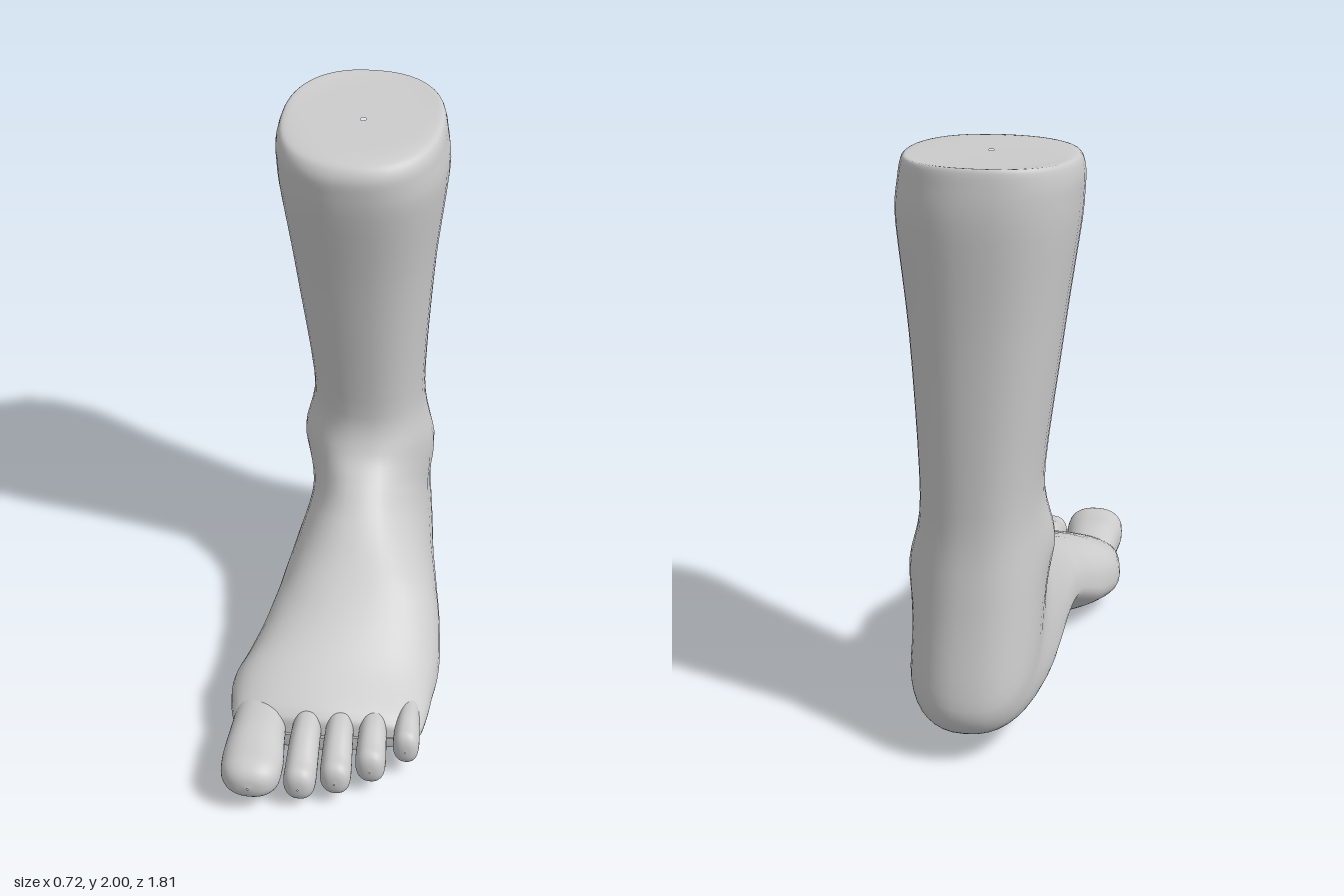
import * as THREE from 'three';

const { smoothstep, lerp } = THREE.MathUtils;
const RING = 44, STEPS = 5;

// Smooth interpolation through rows of numbers, without overshoot
function resample(rows) {
  const slope = (i, k) => {
    if (i === 0 || i === rows.length - 1) return 0;
    const a = rows[i][k] - rows[i - 1][k], b = rows[i + 1][k] - rows[i][k];
    return a * b > 0 ? (2 * a * b) / (a + b) : 0;
  };
  const out = [];
  for (let i = 0; i < rows.length - 1; i++) {
    for (let s = 0; s < STEPS; s++) {
      const t = s / STEPS, t2 = t * t, t3 = t2 * t;
      out.push(rows[i].map((v, k) =>
        (2 * t3 - 3 * t2 + 1) * v + (t3 - 2 * t2 + t) * slope(i, k) +
        (3 * t2 - 2 * t3) * rows[i + 1][k] + (t3 - t2) * slope(i + 1, k)));
    }
  }
  out.push(rows[rows.length - 1]);
  return out;
}

// Skin over rounded cross-sections: [top z, top y, bottom z, bottom y, centre x, half width]
function loft(rows, shape = () => {}) {
  const sections = resample(rows), pos = [], index = [], p = new THREE.Vector3();
  const power = (v) => Math.sign(v) * Math.pow(Math.abs(v), 0.86);
  for (const [tz, ty, bz, by, x, half] of sections) {
    // the instep is widest near the sole, leg and toes at mid height
    const wide = 0.5 + 0.18 * (1 - smoothstep(ty, 0.5, 0.75)) * (1 - smoothstep(tz, 0.25, 0.57));
    for (let j = 0; j < RING; j++) {
      const a = (j / RING) * Math.PI * 2;
      const c = power(Math.cos(a)), s = power(Math.sin(a));
      const t = c > 0 ? wide * (1 - c) : wide - (1 - wide) * c;
      p.set(x + s * half, lerp(ty, by, t), lerp(tz, bz, t));
      shape(p);
      pos.push(p.x, p.y, p.z);
    }
  }
  for (let i = 0; i < sections.length - 1; i++) {
    for (let j = 0; j < RING; j++) {
      const k = (j + 1) % RING;
      const a = i * RING + j, b = a + RING, c = (i + 1) * RING + k, d = i * RING + k;
      index.push(a, b, c, a, c, d);
    }
  }
  const g = new THREE.BufferGeometry();
  g.setAttribute('position', new THREE.Float32BufferAttribute(pos, 3));
  g.setIndex(index);
  g.computeVertexNormals();
  return g;
}

// Ankle bones, inner arch and the slope towards the little toe
function sculpt(p) {
  const bump = (y, z) => Math.exp(-((p.y - y) ** 2 + (p.z - z) ** 2) / 0.0144);
  if (p.x < -0.1) p.x -= 0.025 * bump(0.69, -0.5);
  if (p.x > 0.1) p.x += 0.025 * bump(0.59, -0.58);
  const low = Math.max(0, 1 - p.y / 0.35);
  p.y += 0.1 * Math.max(0, -p.x / 0.25) * low * Math.exp(-(((p.z + 0.08) / 0.28) ** 2));
  const fore = smoothstep(p.z, 0, 0.5);
  p.y -= 0.35 * p.x * fore * Math.max(0, p.y - 0.08);
  p.z -= 0.15 * Math.max(0, p.x) * fore;
}

// Sections fan round from the level top of the leg to the upright front of the foot
const legAndFoot = [
  [-0.46, 1.975, -0.48, 1.976, -0.02, 0.01],
  [-0.24, 1.965, -0.74, 1.99, -0.02, 0.22],
  [-0.17, 1.945, -0.8, 2, -0.025, 0.275],
  [-0.145, 1.89, -0.815, 1.94, -0.025, 0.293],
  [-0.152, 1.8, -0.823, 1.82, -0.018, 0.297],
  [-0.23, 1.4, -0.805, 1.4, -0.014, 0.248],
  [-0.31, 0.85, -0.802, 0.85, 0, 0.199],
  [-0.27, 0.715, -0.84, 0.54, 0, 0.215],
  [-0.2, 0.65, -0.905, 0.21, 0.006, 0.216],
  [-0.16, 0.62, -0.88, 0.125, 0.01, 0.22],
  [-0.12, 0.588, -0.78, 0.078, 0.011, 0.231],
  [-0.08, 0.557, -0.6, 0.065, 0.013, 0.247],
  [0.03, 0.485, -0.24, 0.113, 0.028, 0.278],
  [0.1, 0.445, -0.05, 0.1, 0.036, 0.298],
  [0.2, 0.388, 0.1, 0.048, 0.031, 0.321],
  [0.3, 0.333, 0.25, 0.01, 0.014, 0.342],
  [0.41, 0.28, 0.4, 0, -0.006, 0.354],
  [0.57, 0.21, 0.57, 0.035, 0.005, 0.33],
  [0.6, 0.175, 0.6, 0.06, 0.01, 0.3],
  [0.605, 0.125, 0.605, 0.115, 0.01, 0.26],
];

// Toe: root inside the foot, arched neck, round pad and closed tip
function toe({ root, tip, end, width, neckY, neckH, padY, padH }) {
  const start = Math.min(0.45, end - 0.22), len = end - start, r = width * 0.9;
  const row = (z, y, h, w) => [z, y + h, z, y - h, lerp(root, tip, (z - start) / len), w];
  const pad = (back, size) => row(end - r * back, padY, padH * size, width * size);
  return loft([
    row(start, neckY, neckH * 0.8, width * 0.8),
    row(start + len * 0.45, neckY, neckH, width * 0.92),
    pad(1.5, 1), pad(0.8, 0.97), pad(0.3, 0.75), pad(0.07, 0.4), pad(0, 0.03),
  ]);
}

const toes = [
  { name: 'bigToe', root: -0.235, tip: -0.215, end: 0.905, width: 0.106, neckY: 0.132, neckH: 0.084, padY: 0.125, padH: 0.08 },
  { name: 'secondToe', root: -0.065, tip: -0.05, end: 0.86, width: 0.056, neckY: 0.14, neckH: 0.07, padY: 0.1, padH: 0.068 },
  { name: 'thirdToe', root: 0.045, tip: 0.07, end: 0.82, width: 0.054, neckY: 0.14, neckH: 0.068, padY: 0.105, padH: 0.068 },
  { name: 'fourthToe', root: 0.16, tip: 0.182, end: 0.75, width: 0.053, neckY: 0.135, neckH: 0.066, padY: 0.112, padH: 0.07 },
  { name: 'littleToe', root: 0.28, tip: 0.292, end: 0.648, width: 0.046, neckY: 0.135, neckH: 0.064, padY: 0.125, padH: 0.068 },
];

export function createModel() {
  const model = new THREE.Group();
  model.name = 'foot';
  const skin = new THREE.MeshStandardMaterial({ color: 0xcccccc });
  const add = (name, geometry) => {
    const mesh = new THREE.Mesh(geometry, skin);
    mesh.name = name;
    model.add(mesh);
  };
  add('legAndFoot', loft(legAndFoot, sculpt));
  for (const t of toes) add(t.name, toe(t));
  return model;
}
